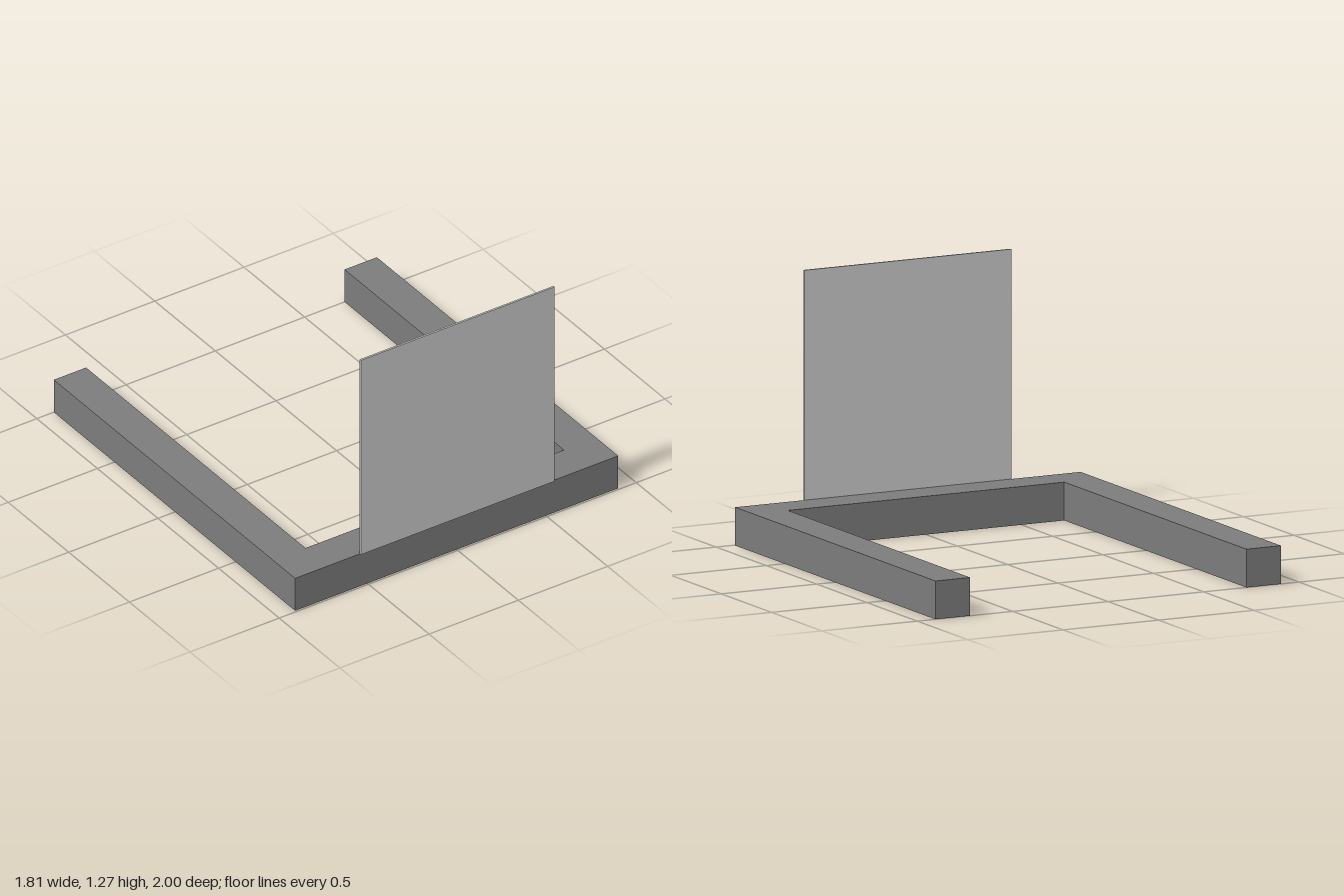
import * as THREE from 'three';

const BAR = 0.181;    // square bar section
const HALF = 0.905;   // half width of the frame
const BACK = -1, FRONT = 0.991;

export function createModel() {
  const group = new THREE.Group();
  const frameMat = new THREE.MeshStandardMaterial({ color: 0x7c7c7c });
  const panelMat = new THREE.MeshStandardMaterial({ color: 0xcccccc });

  // U-shaped base frame, open at the back
  const inner = HALF - BAR;
  const outline = [
    [-HALF, BACK], [-inner, BACK], [-inner, FRONT - BAR], [inner, FRONT - BAR],
    [inner, BACK], [HALF, BACK], [HALF, FRONT], [-HALF, FRONT],
  ].map(([x, z]) => new THREE.Vector2(x, -z));
  const frameGeo = new THREE.ExtrudeGeometry(new THREE.Shape(outline), { depth: BAR, bevelEnabled: false });
  frameGeo.rotateX(-Math.PI / 2);
  const frame = new THREE.Mesh(frameGeo, frameMat);
  frame.name = 'baseFrame';

  // Thin upright panel standing on the front edge
  const size = 1.086, thickness = 0.01;
  const panel = new THREE.Mesh(new THREE.BoxGeometry(size, size, thickness), panelMat);
  panel.name = 'uprightPanel';
  panel.position.set(0, BAR + size / 2, 1 - thickness / 2);

  group.add(frame, panel);
  return group;
}
